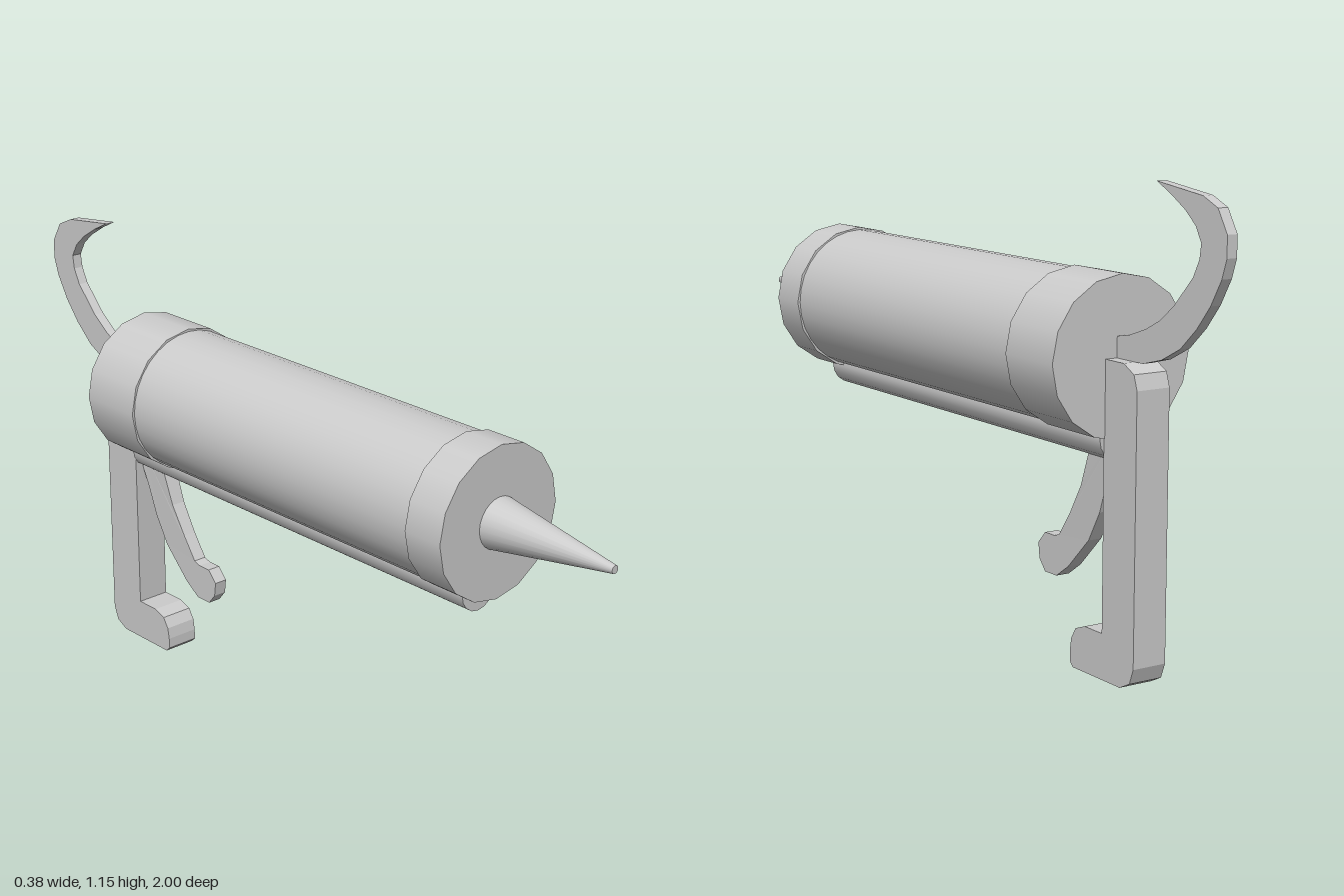
import * as THREE from 'three';

const AXIS_Y = 0.745;

export function createModel() {
  const model = new THREE.Group();
  const material = new THREE.MeshStandardMaterial({ color: 0xcccccc });

  const add = (name, geometry) => {
    const mesh = new THREE.Mesh(geometry, material);
    mesh.name = name;
    model.add(mesh);
    return mesh;
  };

  // Round part lying along z, from zBack to zFront
  const round = (name, rBack, rFront, zBack, zFront, sides, y = AXIS_Y) => {
    const geometry = new THREE.CylinderGeometry(rFront, rBack, zFront - zBack, sides);
    geometry.rotateX(Math.PI / 2);
    add(name, geometry).position.set(0, y, (zBack + zFront) / 2);
  };

  // Flat part cut from a side outline of [z, y] points, centred on x = 0
  const plate = (name, width, outline) => {
    const shape = new THREE.Shape(outline.map(([z, y]) => new THREE.Vector2(z, y)));
    const geometry = new THREE.ExtrudeGeometry(shape, { depth: width, bevelEnabled: false });
    geometry.translate(0, 0, -width / 2);
    geometry.rotateY(-Math.PI / 2);
    return add(name, geometry);
  };

  // Barrel with its end caps, nozzle and the rod underneath
  round('barrel', 0.183, 0.183, -0.6, 0.64, 32);
  round('frontCap', 0.19, 0.19, 0.55, 0.66, 16);
  round('rearCap', 0.19, 0.19, -0.625, -0.44, 16);
  round('nozzle', 0.065, 0.01, 0.655, 1, 24);
  round('supportRod', 0.055, 0.055, -0.62, 0.605, 16, 0.562);

  // Upright grip with a forward foot
  plate('handle', 0.09, [
    [-0.622, 0.11], [-0.555, 0.11], [-0.52, 0.097], [-0.503, 0.07], [-0.498, 0.04],
    [-0.498, 0.012], [-0.51, 0.0], [-0.692, 0.0], [-0.728, 0.018], [-0.742, 0.055],
    [-0.742, 0.69], [-0.73, 0.725], [-0.692, 0.745], [-0.622, 0.745],
  ]);

  // Curved trigger, slightly wider toward the top
  const trigger = plate('trigger', 0.036, [
    [-0.515, 0.56], [-0.53, 0.51], [-0.5, 0.43], [-0.455, 0.355], [-0.413, 0.295],
    [-0.393, 0.288], [-0.355, 0.288], [-0.327, 0.258], [-0.332, 0.22], [-0.355, 0.192],
    [-0.402, 0.192], [-0.45, 0.225], [-0.53, 0.305], [-0.573, 0.38], [-0.6, 0.455],
    [-0.625, 0.51], [-0.622, 0.56],
  ]);
  const p = trigger.geometry.attributes.position;
  for (let i = 0; i < p.count; i++) {
    const t = THREE.MathUtils.clamp((p.getY(i) - 0.35) / 0.16, 0, 1);
    p.setX(i, p.getX(i) * (1 + 0.17 * t));
  }
  trigger.geometry.computeVertexNormals();

  // Pull hook sweeping back and up to a point
  plate('pullHook', 0.027, [
    [-0.61, 0.745], [-0.72, 0.745], [-0.785, 0.762], [-0.85, 0.795], [-0.905, 0.845],
    [-0.95, 0.9], [-0.985, 0.96], [-1.0, 1.005], [-1.0, 1.055], [-0.968, 1.108],
    [-0.918, 1.13], [-0.76, 1.15], [-0.81, 1.125], [-0.86, 1.095], [-0.895, 1.065],
    [-0.915, 1.03], [-0.91, 0.995], [-0.89, 0.955], [-0.825, 0.885], [-0.775, 0.847],
    [-0.73, 0.824], [-0.67, 0.803], [-0.61, 0.792],
  ]);

  return model;
}
